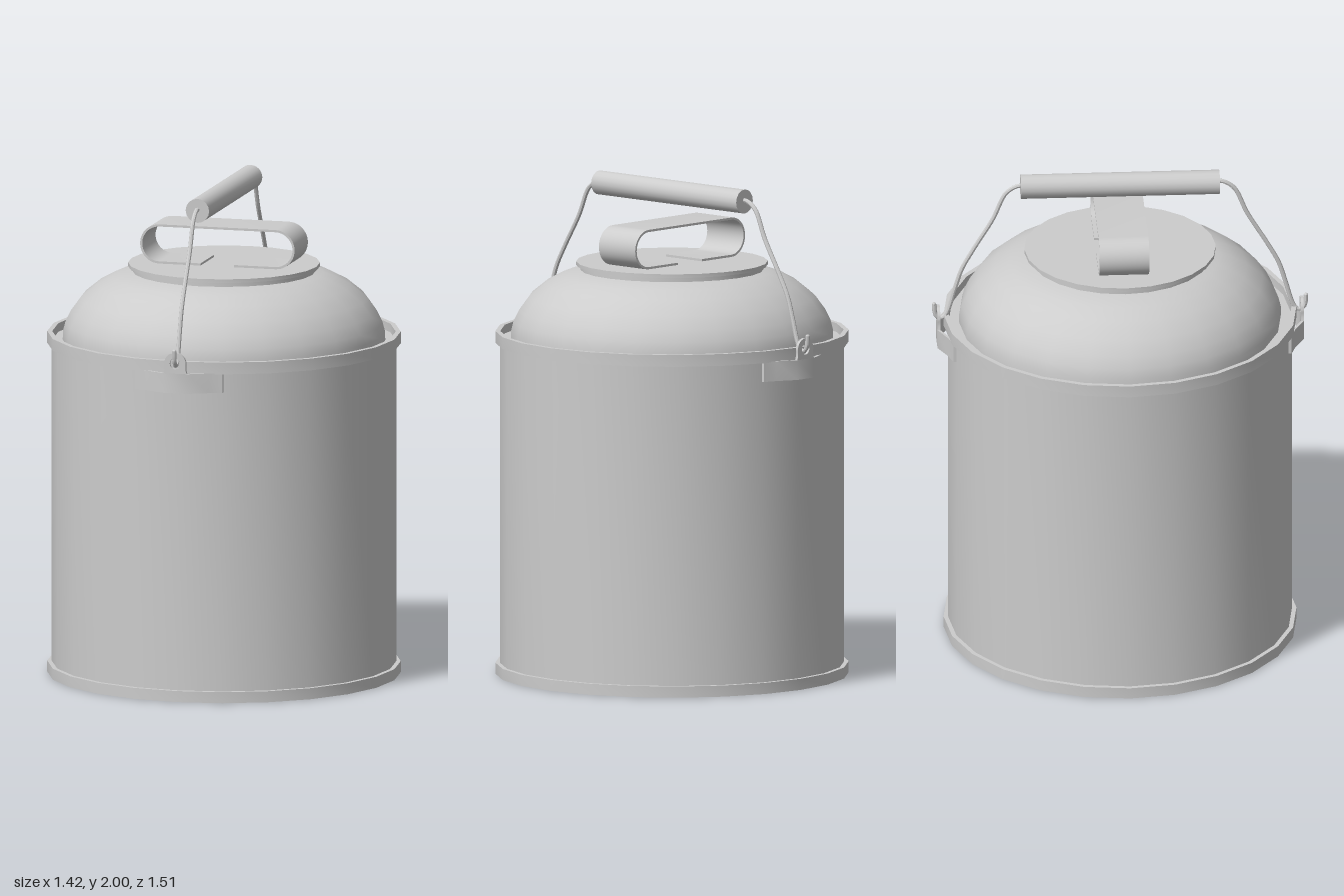
import * as THREE from 'three';
import { toCreasedNormals } from 'three/addons/utils/BufferGeometryUtils.js';

const SIDES = 24;

export function createModel() {
  const model = new THREE.Group();
  model.name = 'lidded pail';
  const metal = new THREE.MeshStandardMaterial({ color: 0xcccccc });
  metal.name = 'grey metal';

  const add = (parent, name, geometry) => {
    const mesh = new THREE.Mesh(toCreasedNormals(geometry, 0.6), metal);
    mesh.name = name;
    parent.add(mesh);
    return mesh;
  };
  const lathe = (points) =>
    new THREE.LatheGeometry(points.map(([r, y]) => new THREE.Vector2(r, y)), SIDES);
  const polygon = (points) => new THREE.Shape(points.map(([x, y]) => new THREE.Vector2(x, y)));
  const extrude = (shape, depth) =>
    new THREE.ExtrudeGeometry(shape, { depth, bevelEnabled: false, curveSegments: 10 });

  // Pail wall with base band and raised top rim
  add(model, 'body', lathe([
    [0, 0], [0.71, 0], [0.71, 0.045], [0.692, 0.045], [0.692, 1.342],
    [0.71, 1.342], [0.71, 1.39], [0.69, 1.39], [0.69, 1.355], [0.6, 1.355],
  ]));

  // Domed shoulder
  add(model, 'dome', lathe([
    [0.648, 1.35], [0.647, 1.39], [0.637, 1.43], [0.615, 1.475], [0.575, 1.53],
    [0.51, 1.583], [0.45, 1.615], [0.4, 1.632], [0.34, 1.642],
  ]));

  // Flat lid with a thin flange
  add(model, 'lid', lathe([
    [0.368, 1.63], [0.368, 1.656], [0.385, 1.656], [0.385, 1.671], [0, 1.671],
  ]));

  // Lid strap: a flat band bent into an open loop
  const cx = 0.242, cy = 1.75, outer = 0.08, inner = 0.071, gap = 0.07;
  const strap = new THREE.Shape();
  strap.moveTo(gap, cy - outer);
  strap.lineTo(cx, cy - outer);
  strap.absarc(cx, cy, outer, -Math.PI / 2, Math.PI / 2, false);
  strap.absarc(-cx, cy, outer, Math.PI / 2, Math.PI * 1.5, false);
  strap.lineTo(-gap, cy - outer);
  strap.lineTo(-gap, cy - inner);
  strap.absarc(-cx, cy, inner, Math.PI * 1.5, Math.PI / 2, true);
  strap.absarc(cx, cy, inner, Math.PI / 2, -Math.PI / 2, true);
  strap.lineTo(gap, cy - inner);
  add(model, 'lidStrap', extrude(strap, 0.2).translate(0, 0.002, -0.1));

  // Carrying grip
  const grip = new THREE.CylinderGeometry(0.049, 0.049, 0.8, 16).rotateX(Math.PI / 2);
  add(model, 'grip', grip.translate(0, 1.951, 0));

  // Ear bracket and bail wire, repeated at front and back
  const wirePath = new THREE.CatmullRomCurve3([
    [1.955, 0.38], [1.955, 0.41], [1.925, 0.458], [1.81, 0.512], [1.676, 0.591],
    [1.59, 0.637], [1.5, 0.666], [1.405, 0.694], [1.378, 0.712], [1.378, 0.733],
    [1.4, 0.745], [1.437, 0.748],
  ].map(([y, z]) => new THREE.Vector3(0, y, z)));

  // Plan of the bracket plate, bulging outwards in the middle
  const plan = [[-0.183, 0.68], [-0.13, 0.697], [-0.05, 0.737], [0.05, 0.737], [0.13, 0.697], [0.183, 0.68]];
  const plate = polygon([
    ...plan.map(([x, z]) => [x, -z]),
    ...plan.slice().reverse().map(([x, z]) => [x, -z + 0.012]),
  ]);

  const ear = new THREE.Shape();
  ear.moveTo(-0.05, 1.34);
  ear.lineTo(0.05, 1.34);
  ear.lineTo(0.044, 1.36);
  ear.absarc(0, 1.385, 0.045, -0.2, Math.PI + 0.2, false);
  ear.lineTo(-0.044, 1.36);
  const hole = new THREE.Path();
  hole.absarc(0, 1.385, 0.022, 0, Math.PI * 2, true);
  ear.holes.push(hole);

  for (const [name, turn] of [['front', 0], ['back', Math.PI]]) {
    const side = new THREE.Group();
    side.name = name + 'HandleMount';
    side.rotation.y = turn;
    add(side, 'bracketPlate', extrude(plate, 0.08).rotateX(-Math.PI / 2).translate(0, 1.265, 0));
    add(side, 'bracketEar', extrude(ear, 0.012).translate(0, 0, 0.725));
    add(side, 'bailWire', new THREE.TubeGeometry(wirePath, 48, 0.009, 8));
    add(side, 'wireTip', new THREE.SphereGeometry(0.009, 8, 6).translate(0, 1.437, 0.748));
    model.add(side);
  }
  return model;
}
